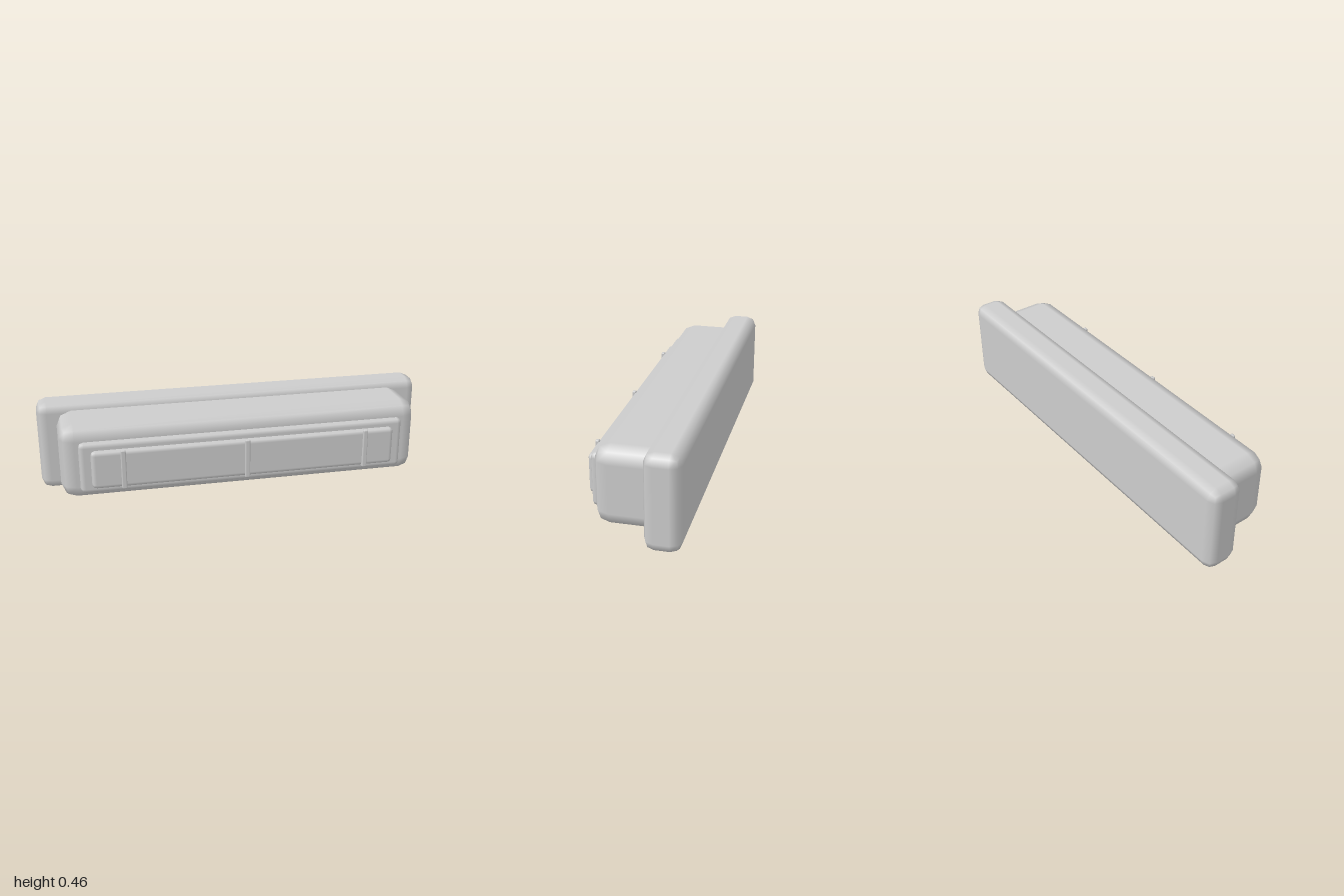
import * as THREE from 'three';
import { RoundedBoxGeometry } from 'three/addons/geometries/RoundedBoxGeometry.js';

export function createModel() {
  const model = new THREE.Group();
  model.name = 'wallUnit';

  const plastic = new THREE.MeshStandardMaterial({ color: 0xcccccc });
  plastic.name = 'lightGreyPlastic';

  const midY = 0.23;

  // Softly bevelled slab, placed by its width, vertical span and depth span
  function slab(name, width, y0, y1, z0, z1, radius, x = 0) {
    const geometry = new RoundedBoxGeometry(width, y1 - y0, z1 - z0, 1, radius);
    const mesh = new THREE.Mesh(geometry, plastic);
    mesh.name = name;
    mesh.position.set(x, (y0 + y1) / 2, (z0 + z1) / 2);
    model.add(mesh);
    return mesh;
  }

  // Stacked body, from the wall outwards
  slab('backPlate', 2, 0, 0.46, -0.245, -0.075, 0.05);
  slab('housing', 1.81, midY - 0.19, midY + 0.191, -0.15, 0.173, 0.073);
  slab('bezel', 1.63, 0.087, 0.35, 0.155, 0.205, 0.025);
  slab('frontPanel', 1.52, 0.121, 0.315, 0.19, 0.235, 0.022);

  // Thin vertical dividers across the front panel
  for (const x of [-0.607, 0, 0.607]) {
    slab('dividerBar', 0.025, 0.118, 0.317, 0.225, 0.245, 0.006, x);
  }

  return model;
}
